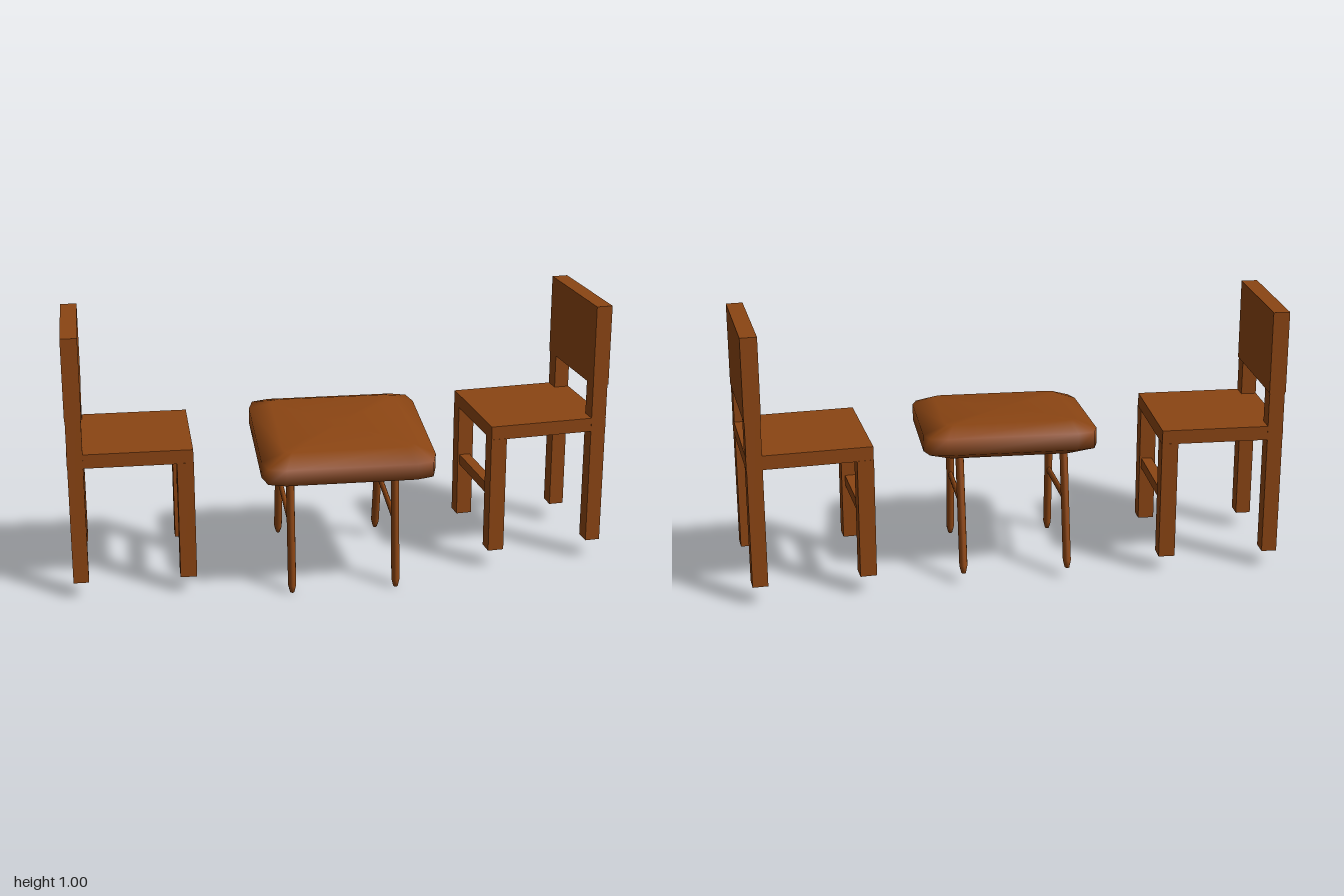
import * as THREE from 'three';

const wood = new THREE.MeshStandardMaterial({ color: 0x8b4513 });

function box(parent, name, [w, h, d], [x, y, z]) {
  const mesh = new THREE.Mesh(new THREE.BoxGeometry(w, h, d), wood);
  mesh.name = name;
  mesh.position.set(x, y, z);
  parent.add(mesh);
}

// Chair with its backrest at -x and its seat reaching towards +x; feet at y = 0
function createChair(name) {
  const chair = new THREE.Group();
  chair.name = name;
  box(chair, 'seat', [0.448, 0.052, 0.44], [0, 0.468, 0]);
  for (const s of [-1, 1]) {
    box(chair, 'frontLeg', [0.06, 0.444, 0.062], [0.195, 0.222, s * 0.19]);
    box(chair, 'backPost', [0.056, 0.92, 0.062], [-0.195, 0.46, s * 0.19]);
  }
  box(chair, 'backrest', [0.06, 0.302, 0.45], [-0.195, 0.774, 0]);
  box(chair, 'frontStretcher', [0.04, 0.04, 0.33], [0.198, 0.228, 0]);
  return chair;
}

// Rounded-square outline: half size h, corner cut c, corner point pulled in by m
function outline(h, c, m) {
  const quarter = [[h, h - c], [h - m, h - m], [h - c, h]];
  const pts = [];
  for (let q = 0; q < 4; q++) {
    for (const [x, z] of quarter) {
      pts.push([[x, z], [-z, x], [-x, -z], [z, -x]][q]);
    }
  }
  return pts;
}

// Soft cushion-like top lofted through stacked outlines
function cushionGeometry() {
  const rings = [
    [-0.062, 0, 0, 0], [-0.062, 0.235, 0.03, 0.008], [-0.03, 0.315, 0.08, 0.018],
    [0.03, 0.315, 0.08, 0.018], [0.062, 0.235, 0.03, 0.008], [0.062, 0, 0, 0],
  ];
  const pos = [], idx = [], n = 12;
  rings.forEach(([y, h, c, m], i) => {
    for (const [x, z] of outline(h, c, m)) pos.push(x, y, z);
    if (i === rings.length - 1) return;
    for (let j = 0; j < n; j++) {
      const a = i * n + j, b = i * n + (j + 1) % n;
      idx.push(a, a + n, b, b, a + n, b + n);
    }
  });
  const geo = new THREE.BufferGeometry();
  geo.setAttribute('position', new THREE.Float32BufferAttribute(pos, 3));
  geo.setIndex(idx);
  geo.computeVertexNormals();
  return geo;
}

// Oval rod between two points, with a tapered lower tip
function rod(parent, name, from, to, radius, tip) {
  const a = new THREE.Vector3(...from), b = new THREE.Vector3(...to);
  const dir = b.clone().sub(a), len = dir.length();
  const profile = [[0, 0], [radius * 0.55, 0], [radius, tip], [radius, len], [0, len]]
    .map(([r, y]) => new THREE.Vector2(r, y));
  const mesh = new THREE.Mesh(new THREE.LatheGeometry(profile, 12), wood);
  mesh.name = name;
  mesh.position.copy(a);
  mesh.quaternion.setFromUnitVectors(new THREE.Vector3(0, 1, 0), dir.normalize());
  mesh.scale.x = 0.6;
  parent.add(mesh);
}

function createTable() {
  const table = new THREE.Group();
  table.name = 'table';
  const top = new THREE.Mesh(cushionGeometry(), wood);
  top.name = 'tableTop';
  top.position.set(0, 0.517, 0.034);
  top.rotation.x = 0.09;
  table.add(top);
  // Splayed legs joined by one stretcher on each side
  for (const x of [-0.206, 0.178]) {
    rod(table, 'frontLeg', [x, 0.002, 0.243], [x, 0.49, 0.2], 0.025, 0.028);
    rod(table, 'backLeg', [x, 0.041, -0.243], [x, 0.52, -0.118], 0.025, 0.028);
    rod(table, 'sideStretcher', [x, 0.255, 0.22], [x, 0.291, -0.18], 0.015, 0.005);
  }
  return table;
}

export function createModel() {
  const model = new THREE.Group();
  model.name = 'tableAndChairs';

  const rightChair = createChair('rightChair');
  rightChair.position.set(-0.775, 0.065, -0.023);

  const leftChair = createChair('leftChair');
  leftChair.position.set(0.747, 0.075, -0.104);
  leftChair.rotation.y = Math.PI + 0.115;

  model.add(rightChair, createTable(), leftChair);
  return model;
}
